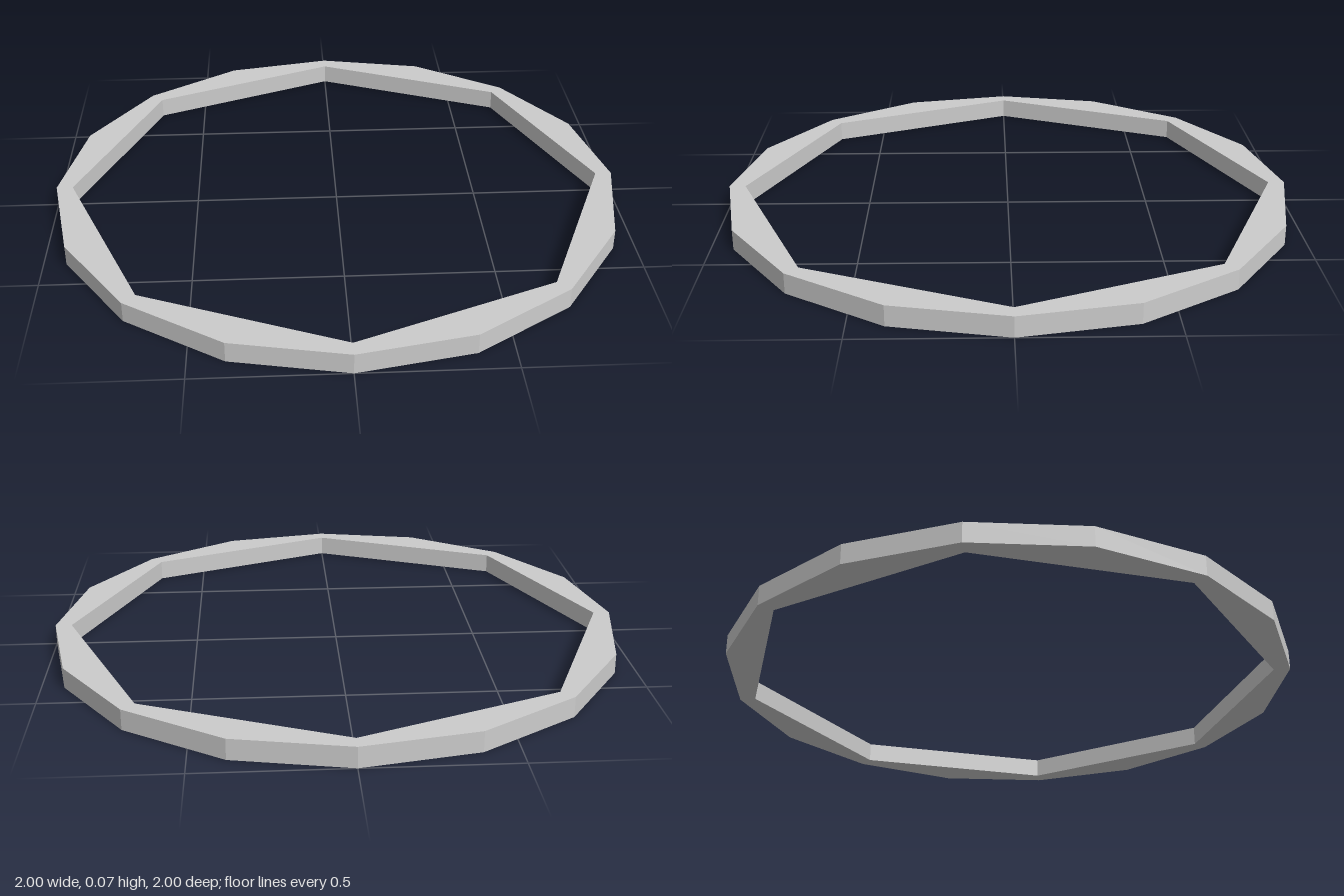
import * as THREE from 'three';

const HEIGHT = 0.07;

// Points of a regular polygon with its first corner on +x
function polygon(sides, radius) {
  return Array.from({ length: sides }, (_, i) => {
    const a = (i / sides) * Math.PI * 2;
    return new THREE.Vector2(Math.cos(a) * radius, Math.sin(a) * radius);
  });
}

export function createModel() {
  const group = new THREE.Group();
  group.name = 'ring';

  // Sixteen-sided band with an eight-sided opening
  const shape = new THREE.Shape(polygon(16, 1));
  shape.holes.push(new THREE.Path(polygon(8, 0.943)));
  const geometry = new THREE.ExtrudeGeometry(shape, { depth: HEIGHT, bevelEnabled: false });
  geometry.rotateX(-Math.PI / 2);

  const band = new THREE.Mesh(
    geometry,
    new THREE.MeshStandardMaterial({ color: 0xcccccc, flatShading: true })
  );
  band.name = 'band';
  group.add(band);
  return group;
}
